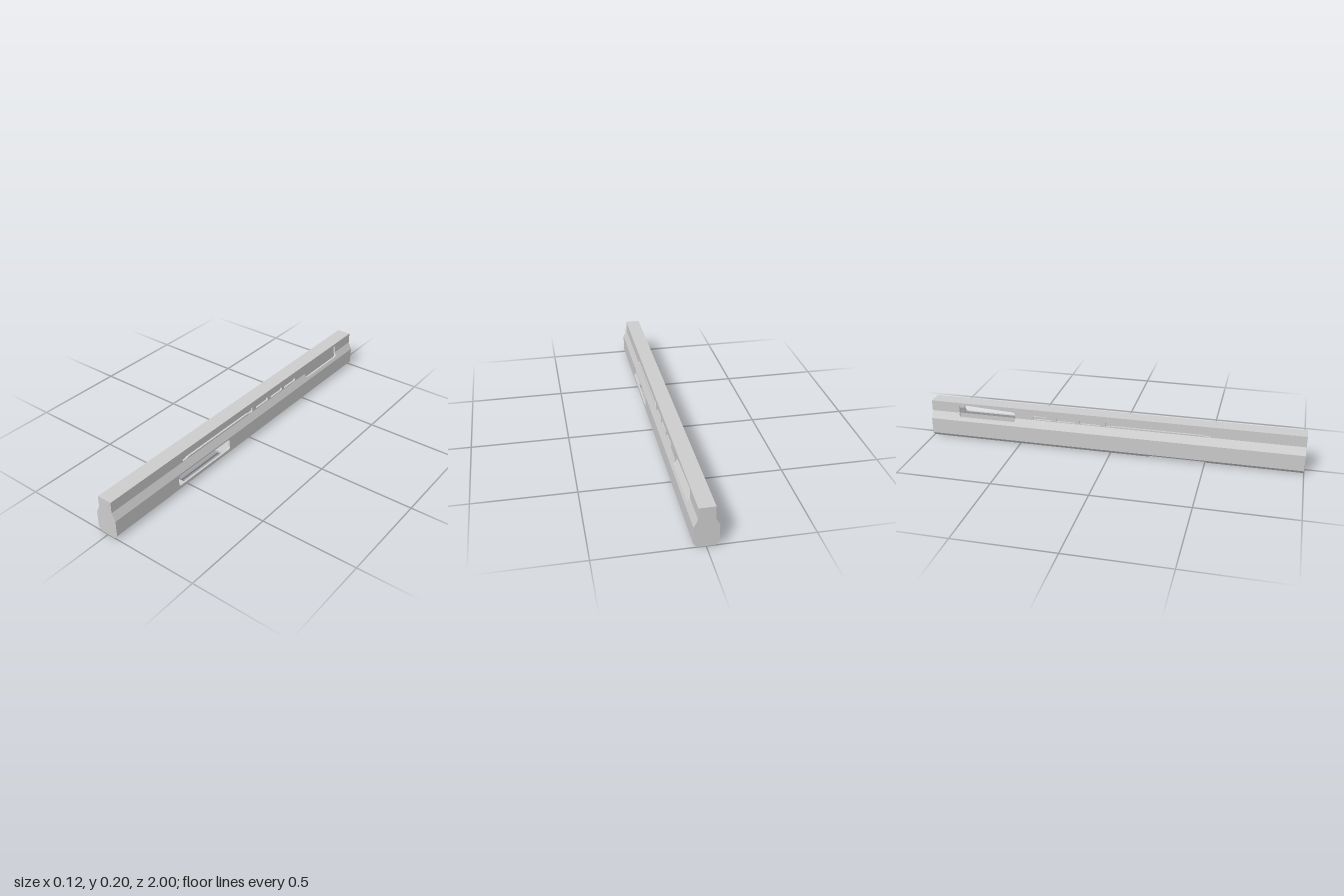
import * as THREE from 'three';

const T = 0.011; // wall thickness
// Half outline of the bar's cross-section: [x, y]
const PROFILE = [[0.039, 0], [0.058, 0.02], [0.058, 0.105], [0.039, 0.145], [0.039, 0.203]];
const mat = new THREE.MeshStandardMaterial({ color: 0xcccccc, flatShading: true });

function profileX(y) {
  for (let i = 1; i < PROFILE.length; i++) {
    const [x0, y0] = PROFILE[i - 1], [x1, y1] = PROFILE[i];
    if (y <= y1 + 1e-6) return x0 + (x1 - x0) * (y - y0) / (y1 - y0);
  }
  return PROFILE[PROFILE.length - 1][0];
}

// Closed path with rounded corners; points are [u, y, radius], u runs towards the back
function rounded(points, Kind = THREE.Shape) {
  const path = new Kind();
  const n = points.length;
  points.forEach(([u, y, r = 0], i) => {
    const p = new THREE.Vector2(u, y);
    const toward = (q) => new THREE.Vector2(q[0], q[1]).sub(p).setLength(r).add(p);
    const a = toward(points[(i + n - 1) % n]), b = toward(points[(i + 1) % n]);
    if (i === 0) path.moveTo(a.x, a.y); else path.lineTo(a.x, a.y);
    if (r) path.quadraticCurveTo(u, y, b.x, b.y);
  });
  path.closePath();
  return path;
}

const slot = (u0, u1, y0, y1, r) =>
  rounded([[u0, y0, r], [u1, y0, r], [u1, y1, r], [u0, y1, r]], THREE.Path);

// Wall strip: a flat cut-out that is bent to follow the cross-section
function wallStrip(name, points, holes = []) {
  const shape = rounded(points);
  shape.holes.push(...holes);
  const geo = new THREE.ExtrudeGeometry(shape, { depth: T, bevelEnabled: false, curveSegments: 6 });
  geo.rotateY(Math.PI / 2);
  const pos = geo.attributes.position;
  for (let i = 0; i < pos.count; i++) pos.setX(i, pos.getX(i) - T + profileX(pos.getY(i)));
  geo.computeVertexNormals();
  const mesh = new THREE.Mesh(geo, mat);
  mesh.name = name;
  return mesh;
}

function box(name, w, h, z0, z1, y) {
  const mesh = new THREE.Mesh(new THREE.BoxGeometry(w, h, Math.abs(z1 - z0)), mat);
  mesh.position.set(0, y, (z0 + z1) / 2);
  mesh.name = name;
  return mesh;
}

function sideWall(hasWindow) {
  const side = new THREE.Group();
  // Lower bevel, notched above the bottom opening
  side.add(wallStrip('lowerBevel', [[-1, 0], [-0.51, 0], [-0.51, 0.009], [-0.21, 0.009],
    [-0.21, 0], [1, 0], [1, 0.02], [-1, 0.02]]));
  // Flat lower wall, with the window on one side
  side.add(wallStrip('lowerWall', [[-1, 0.02], [1, 0.02], [1, 0.105], [-1, 0.105]],
    hasWindow ? [slot(-0.578, -0.185, 0.037, 0.097, 0.016)] : []));
  // Sloping shoulder, with the lower part of the large opening
  side.add(wallStrip('shoulder', [[-1, 0.105], [1, 0.105], [1, 0.145], [0.842, 0.145],
    [0.842, 0.122, 0.018], [0.524, 0.122, 0.018], [0.524, 0.145], [-1, 0.145]]));
  // Neck, with the upper part of the large opening and the row of slots
  const holes = [0.06, 0.19, 0.318].map((u) => slot(u, u + 0.107, 0.149, 0.169, 0.008));
  holes.push(rounded([[-0.525, 0.147, 0.006], [-0.5, 0.147, 0.004], [-0.485, 0.152], [-0.01, 0.152],
    [0.005, 0.147, 0.004], [0.03, 0.147, 0.006], [0.03, 0.175, 0.006], [0.005, 0.175, 0.004],
    [-0.01, 0.168], [-0.485, 0.168], [-0.5, 0.175, 0.004], [-0.525, 0.175, 0.006]], THREE.Path));
  side.add(wallStrip('neck', [[-1, 0.145], [0.524, 0.145], [0.524, 0.177, 0.015],
    [0.842, 0.193, 0.018], [0.842, 0.145], [1, 0.145], [1, 0.203], [-1, 0.203]], holes));
  return side;
}

export function createModel() {
  const model = new THREE.Group();
  model.name = 'slottedBar';

  for (const s of [1, -1]) {
    const side = sideWall(s > 0);
    side.name = s > 0 ? 'leftSide' : 'rightSide';
    side.scale.x = s;
    model.add(side);
  }

  // Top and bottom plates; the bottom leaves an opening below the window
  model.add(box('topPlate', 0.078, T, 1, -1, 0.203 - T / 2));
  model.add(box('bottomFront', 0.078, T, 1, 0.51, T / 2));
  model.add(box('bottomBack', 0.078, T, 0.21, -1, T / 2));

  // End caps
  const outline = PROFILE.concat(PROFILE.map(([x, y]) => [-x, y]).reverse());
  const capGeo = new THREE.ExtrudeGeometry(rounded(outline), { depth: T, bevelEnabled: false });
  for (const [name, z] of [['frontCap', 1 - T], ['backCap', -1]]) {
    const cap = new THREE.Mesh(capGeo, mat);
    cap.name = name;
    cap.position.z = z;
    model.add(cap);
  }

  // Inner core behind the slots, tapering towards the large opening
  const core = rounded([[-0.56, 0.13], [0.46, 0.13], [0.46, 0.156], [0.2, 0.17], [0.05, 0.18], [-0.56, 0.18]]);
  const coreGeo = new THREE.ExtrudeGeometry(core, { depth: 0.052, bevelEnabled: false });
  coreGeo.rotateY(Math.PI / 2).translate(-0.026, 0, 0);
  const coreMesh = new THREE.Mesh(coreGeo, mat);
  coreMesh.name = 'innerCore';
  model.add(coreMesh);

  return model;
}
